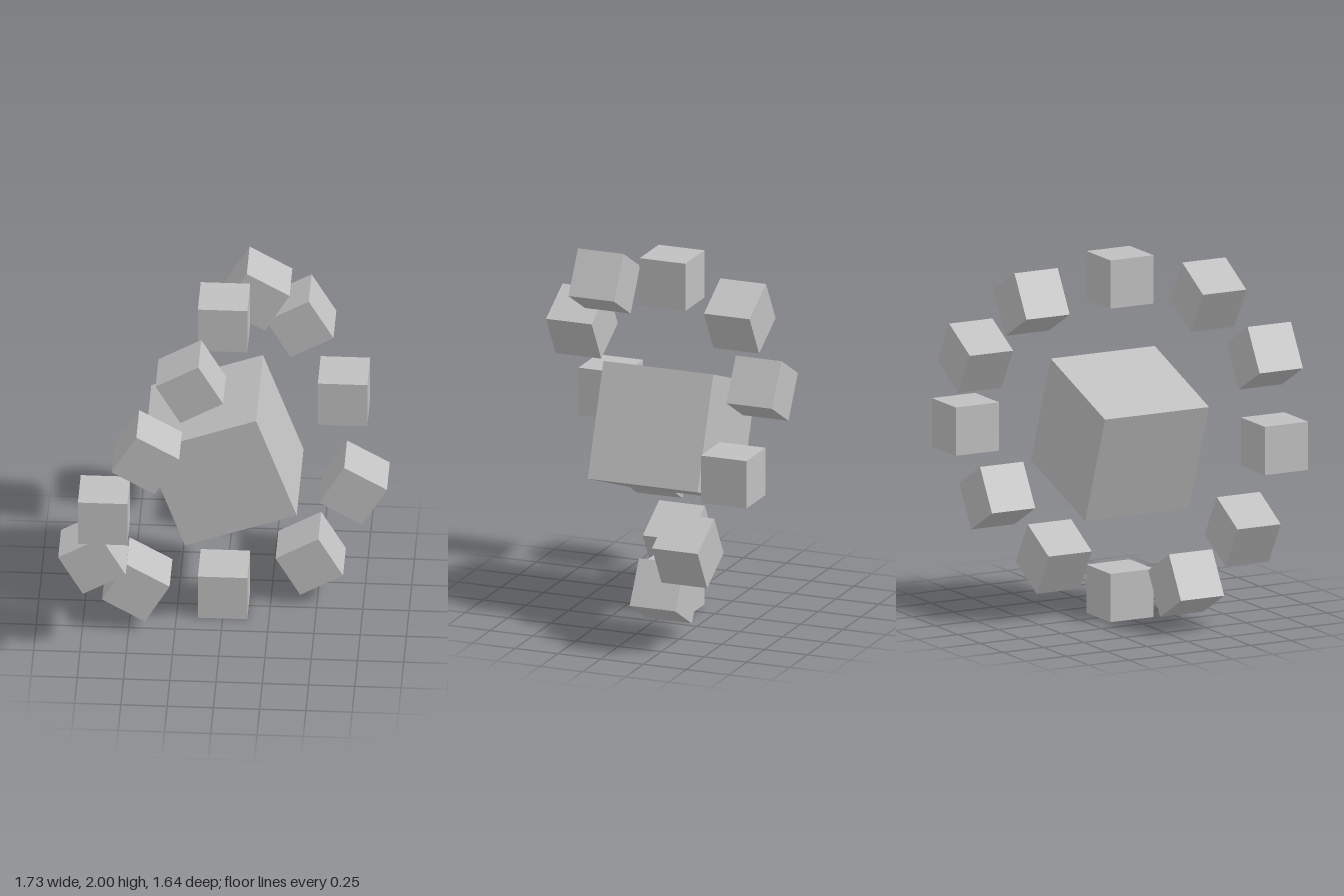
import * as THREE from 'three';

export function createModel() {
  const group = new THREE.Group();
  const grey = new THREE.MeshStandardMaterial({ color: 0xc0c0c0 });
  grey.name = 'grey';

  // Large tilted cube in the middle
  const core = new THREE.Mesh(new THREE.BoxGeometry(0.642, 0.642, 0.642), grey);
  core.name = 'centreCube';
  core.position.y = 1.003;
  core.rotation.z = THREE.MathUtils.degToRad(20);
  group.add(core);

  // Twelve small cubes on a warped diagonal ring, each rolled by its own step
  const ring = new THREE.Group();
  ring.name = 'cubeRing';
  const small = new THREE.BoxGeometry(0.267, 0.267, 0.267);
  for (let i = 0; i < 12; i++) {
    const t = (i * Math.PI) / 6;
    const along = 0.613 * Math.sin(t);
    const warp = 0.177 * Math.sin(2 * t);
    const cube = new THREE.Mesh(small, grey);
    cube.name = `ringCube${i + 1}`;
    cube.position.set(along - warp, 1 + 0.8665 * Math.cos(t), -along - warp);
    cube.rotation.z = -t;
    ring.add(cube);
  }
  group.add(ring);
  return group;
}
